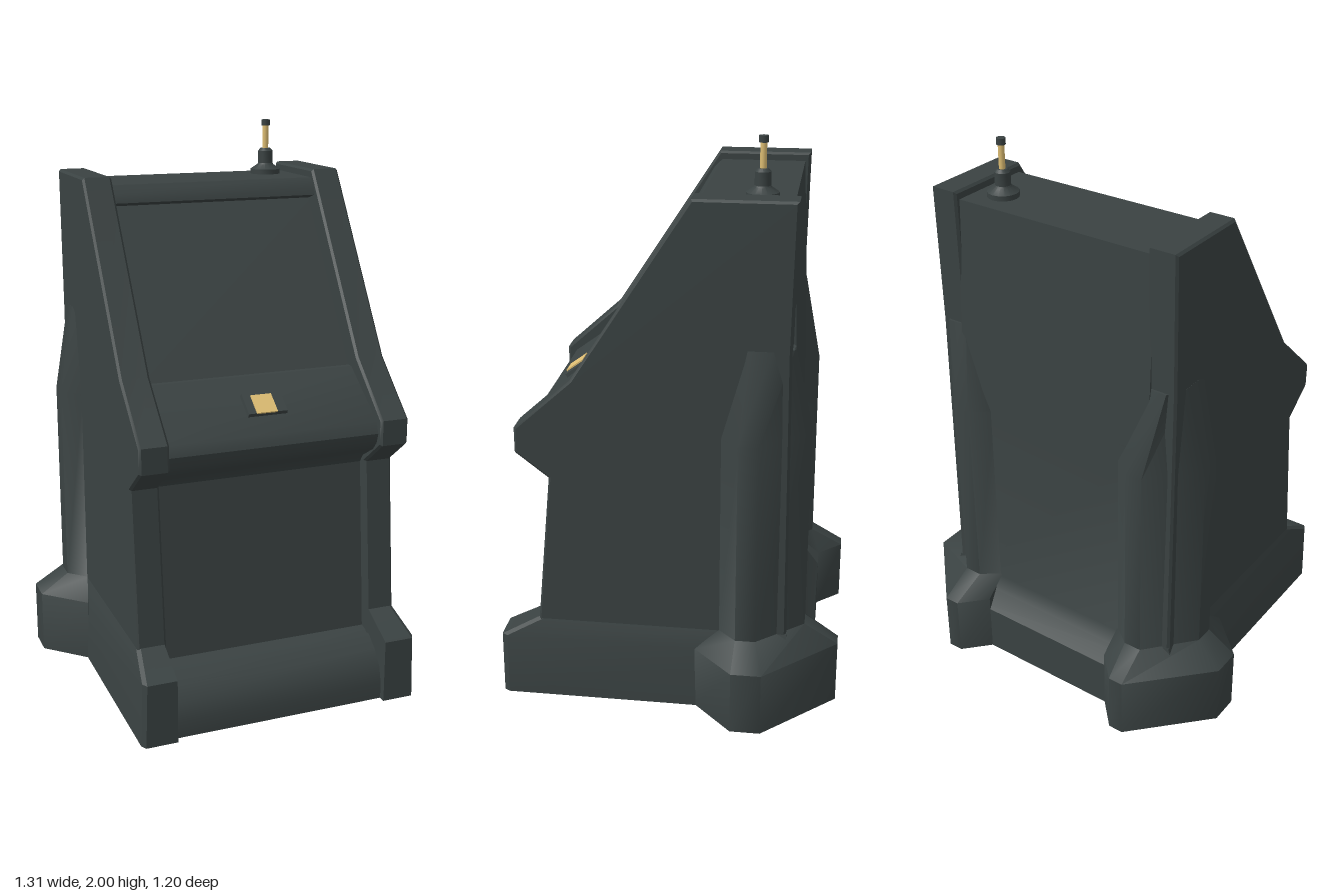
import * as THREE from 'three';
import { toCreasedNormals } from 'three/addons/utils/BufferGeometryUtils.js';

const casing = new THREE.MeshStandardMaterial({ color: 0x3a4242 });
casing.name = 'dark casing';
const brass = new THREE.MeshStandardMaterial({ color: 0xdcbc72 });
brass.name = 'brass';

// Extrudes a side profile of [z, y] points along x, centred on xMid
function sideExtrude(points, width, xMid, bevel) {
  const shape = new THREE.Shape(points.map(([z, y]) => new THREE.Vector2(z, y)));
  const geo = new THREE.ExtrudeGeometry(shape, {
    depth: width - 2 * bevel, bevelEnabled: bevel > 0, bevelSize: bevel,
    bevelThickness: bevel, bevelOffset: -bevel, bevelSegments: 1,
  });
  geo.rotateY(-Math.PI / 2);
  geo.translate(xMid + width / 2 - bevel, 0, 0);
  return toCreasedNormals(geo, 0.6);
}

// Skins horizontal rings { y, pts: [[x, z], ...] }; side = -1 mirrors in x
function loft(rings, side, crease) {
  const pos = [], idx = [], n = rings[0].pts.length;
  for (const { y, pts } of rings) {
    const ring = pts.map(([x, z]) => [x * side, y, z]);
    if (side < 0) ring.reverse();
    ring.forEach((p) => pos.push(...p));
  }
  for (let r = 0; r < rings.length - 1; r++) {
    for (let i = 0; i < n; i++) {
      const a = r * n + i, b = r * n + (i + 1) % n;
      idx.push(a, b, b + n, a, b + n, a + n);
    }
  }
  // Caps as fans around the ring centres
  for (const [r, up] of [[0, false], [rings.length - 1, true]]) {
    const { y, pts } = rings[r], c = pos.length / 3;
    const mean = (k) => pts.reduce((s, p) => s + p[k], 0) / n;
    pos.push(mean(0) * side, y, mean(1));
    for (let i = 0; i < n; i++) {
      const a = r * n + i, b = r * n + (i + 1) % n;
      idx.push(c, up ? a : b, up ? b : a);
    }
  }
  const geo = new THREE.BufferGeometry();
  geo.setAttribute('position', new THREE.Float32BufferAttribute(pos, 3));
  geo.setIndex(idx);
  return toCreasedNormals(geo, crease);
}

export function createModel() {
  const model = new THREE.Group();
  const add = (name, geo, mat, parent = model) => {
    const mesh = new THREE.Mesh(geo, mat);
    mesh.name = name;
    parent.add(mesh);
    return mesh;
  };

  // Cabinet body: plinth, front panel, control ledge, recessed screen, top and back
  add('cabinetBody', sideExtrude([
    [-0.51, 0], [0.575, 0], [0.575, 0.06], [0.56, 0.12], [0.52, 0.17], [0.455, 0.22],
    [0.43, 0.225], [0.375, 0.84], [0.395, 0.87], [0.47, 0.915], [0.495, 0.945],
    [0.505, 0.98], [0.49, 1.02], [0.285, 1.17], [0.265, 1.17], [-0.1, 1.725],
    [-0.05, 1.74], [-0.06, 1.77], [-0.09, 1.80], [-0.40, 1.80], [-0.43, 1.1],
    [-0.43, 0.29], [-0.46, 0.24], [-0.51, 0.18],
  ], 0.79, 0, 0), casing);

  // Raised rims beside the screen and the lower front panel
  for (const side of [1, -1]) {
    add('screenRim', sideExtrude([
      [0.24, 1.16], [0.29, 1.17], [-0.05, 1.74], [-0.12, 1.72],
    ], 0.012, side * 0.387, 0), casing);
    add('frontPanelRim', sideExtrude([
      [0.40, 0.22], [0.452, 0.225], [0.39, 0.85], [0.35, 0.85],
    ], 0.008, side * 0.388, 0), casing);
  }

  // Side panels, with flared skirts and angled rear corner buttresses
  const panel = [
    [0.474, 0.2], [0.41, 0.85], [0.525, 0.94], [0.525, 1.03], [0.325, 1.21],
    [-0.08, 1.83], [-0.42, 1.83], [-0.41, 1.33], [-0.42, 0.2],
  ];
  const skirtRing = (x, z) => [[0.39, z], [x - 0.012, z], [x, z - 0.02], [x, -0.42], [0.39, -0.42]];
  const skirt = [
    { y: 0, pts: skirtRing(0.515, 0.6) },
    { y: 0.23, pts: skirtRing(0.508, 0.6) },
    { y: 0.30, pts: skirtRing(0.487, 0.465) },
  ];
  const foot = [[0.51, -0.10], [0.655, -0.24], [0.655, -0.345], [0.41, -0.60],
    [0.355, -0.60], [0.27, -0.51], [0.30, -0.36], [0.42, -0.15]];
  const shaft = [[0.484, -0.18], [0.55, -0.245], [0.55, -0.315], [0.405, -0.48],
    [0.34, -0.48], [0.27, -0.425], [0.30, -0.36], [0.42, -0.2]];
  const tip = [[0.484, -0.24], [0.488, -0.27], [0.488, -0.35], [0.455, -0.418],
    [0.41, -0.418], [0.385, -0.41], [0.385, -0.36], [0.42, -0.26]];
  const buttress = [
    { y: 0, pts: foot }, { y: 0.23, pts: foot }, { y: 0.30, pts: shaft },
    { y: 1.03, pts: shaft }, { y: 1.34, pts: tip },
  ];
  for (const side of [1, -1]) {
    const label = side > 0 ? 'left' : 'right';
    add(label + 'SidePanel', sideExtrude(panel, 0.105, side * 0.435, 0.008), casing);
    add(label + 'Skirt', loft(skirt, side, 0.5), casing);
    add(label + 'RearButtress', loft(buttress, side, 0.9), casing);
  }

  // Buttons on the sloping control ledge
  const controls = new THREE.Group();
  controls.name = 'controls';
  controls.position.set(0, 1.093, 0.39);
  controls.rotation.x = Math.atan2(0.15, 0.205);
  model.add(controls);
  for (const [x, w] of [[-0.178, 0.122], [-0.016, 0.118], [0.144, 0.148]]) {
    const geo = new THREE.BoxGeometry(w, 0.03, 0.095);
    // Slightly narrowed top gives a moulded edge
    const p = geo.attributes.position;
    for (let i = 0; i < p.count; i++) {
      if (p.getY(i) > 0) p.setXYZ(i, p.getX(i) * 0.95, p.getY(i), p.getZ(i) * 0.94);
    }
    geo.computeVertexNormals();
    add('button', geo, casing, controls);
  }
  add('buttonPlate', new THREE.BoxGeometry(0.075, 0.006, 0.078), brass, controls)
    .position.set(-0.005, 0.017, 0.008);

  // Antenna on the roof
  const antenna = new THREE.Group();
  antenna.name = 'antenna';
  antenna.position.set(0.285, 1.80, -0.29);
  model.add(antenna);
  const baseProfile = [[0, 0], [0.055, 0], [0.055, 0.018], [0.03, 0.035], [0.027, 0.04],
    [0.027, 0.085], [0.018, 0.095], [0, 0.095]].map(([r, y]) => new THREE.Vector2(r, y));
  add('antennaBase', toCreasedNormals(new THREE.LatheGeometry(baseProfile, 16), 0.5), casing, antenna);
  add('antennaRod', new THREE.CylinderGeometry(0.011, 0.011, 0.1, 12), brass, antenna).position.y = 0.135;
  add('antennaTip', new THREE.CylinderGeometry(0.016, 0.016, 0.022, 12), casing, antenna).position.y = 0.189;

  return model;
}
